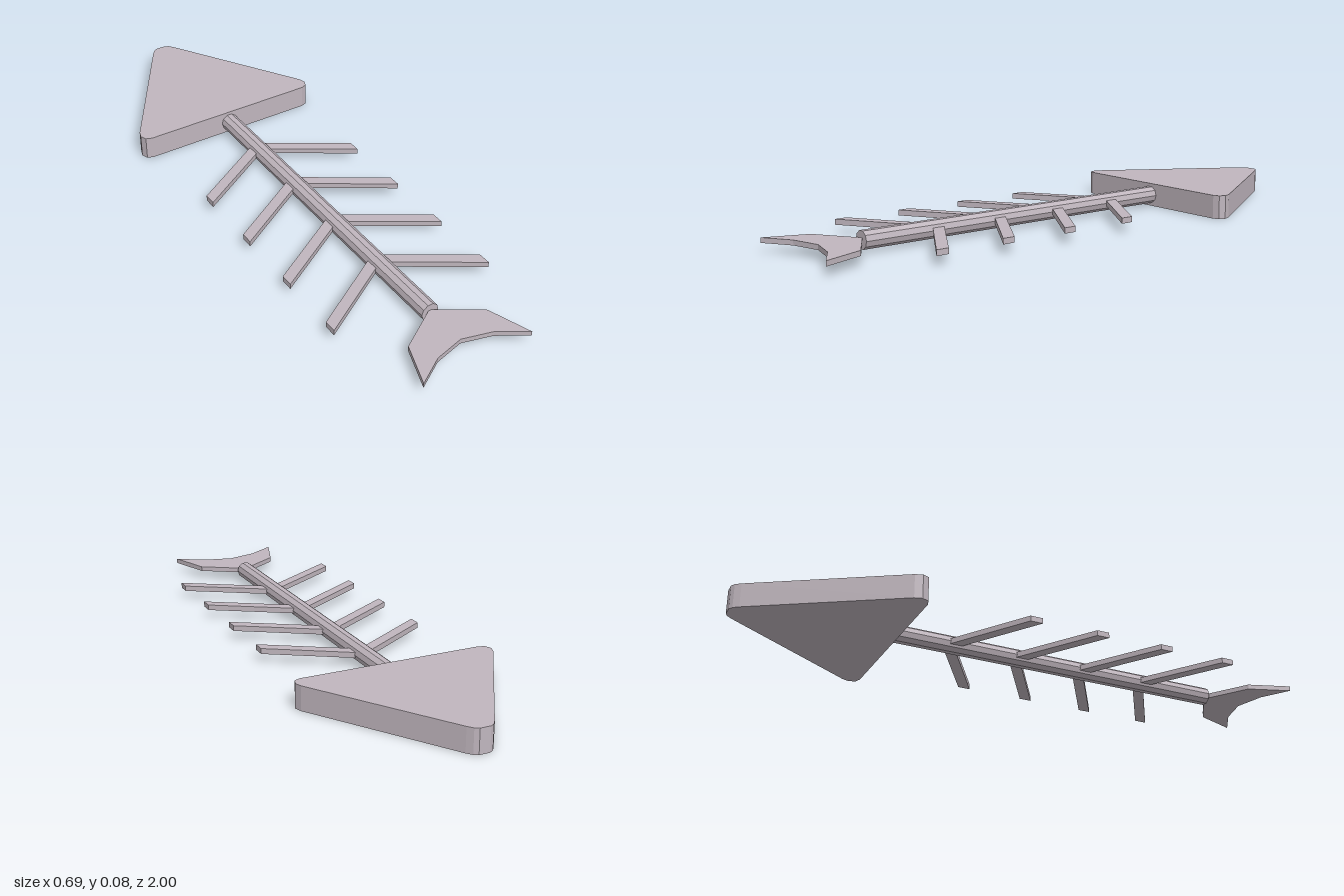
import * as THREE from 'three';

const bone = new THREE.MeshStandardMaterial({ color: 0xc0b6be, flatShading: true });
bone.name = 'bone grey';

// Flat plate from an (x, z) outline, standing between two heights
function plate(name, outline, bottom, top) {
  const shape = new THREE.Shape(outline.map(([x, z]) => new THREE.Vector2(x, -z)));
  const geometry = new THREE.ExtrudeGeometry(shape, { depth: top - bottom, bevelEnabled: false });
  geometry.rotateX(-Math.PI / 2).translate(0, bottom, 0);
  const mesh = new THREE.Mesh(geometry, bone);
  mesh.name = name;
  return mesh;
}

// Complete a half outline by mirroring it across x = 0
function mirrored(half) {
  const other = half.filter(([x]) => x > 0).reverse().map(([x, z]) => [-x, z]);
  return [...half, ...other];
}

export function createModel() {
  const model = new THREE.Group();
  model.name = 'fishSkeleton';

  // Thick triangular head with blunted corners
  model.add(plate('head', mirrored([
    [0.018, -1], [0.032, -0.992], [0.046, -0.974], [0.337, -0.51],
    [0.345, -0.485], [0.336, -0.463], [0.315, -0.455],
  ]), 0, 0.082));

  // Ten-sided spine
  const spineGeometry = new THREE.CylinderGeometry(0.031, 0.031, 1.225, 10);
  spineGeometry.rotateY(Math.PI / 10).rotateX(Math.PI / 2);
  const spine = new THREE.Mesh(spineGeometry, bone);
  spine.name = 'spine';
  spine.position.set(0, 0.041, 0.152);
  model.add(spine);

  // Four pairs of swept ribs
  const ribs = new THREE.Group();
  ribs.name = 'ribs';
  for (let i = 0; i < 4; i++) {
    const z = -0.277 + i * 0.245;
    for (const [side, tip] of [['left', 0.291], ['right', -0.296]]) {
      ribs.add(plate(`${side}Rib${i + 1}`,
        [[0, z], [tip, z + 0.184], [tip, z + 0.228], [0, z + 0.044]], 0.031, 0.05));
    }
  }
  model.add(ribs);

  // Forked tail fin
  model.add(plate('tailFin', mirrored([
    [0, 0.76], [0.148, 0.855], [0.2, 1], [0.104, 0.94], [0, 0.913],
  ]), 0.031, 0.048));

  return model;
}
